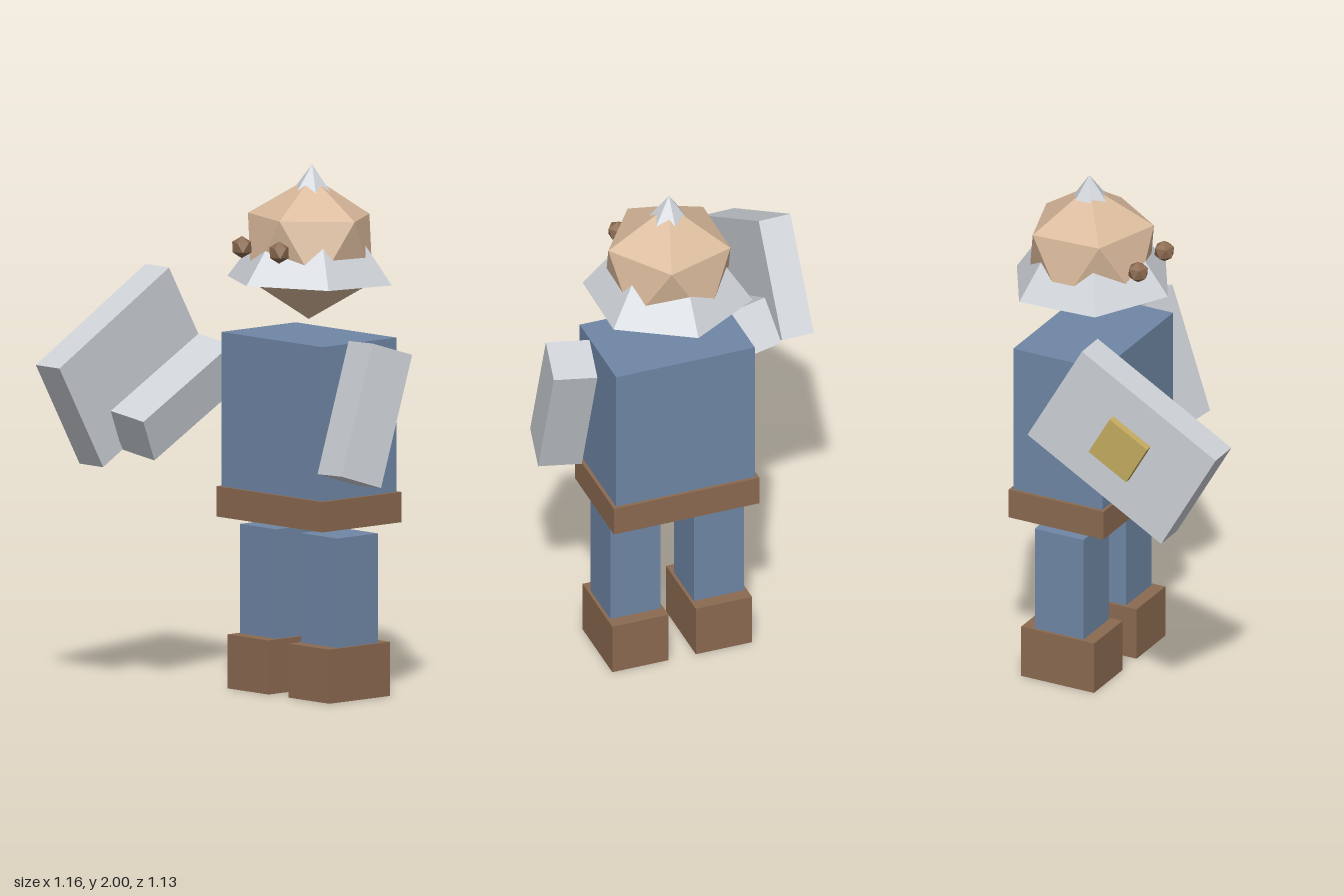
import * as THREE from 'three';

const mat = (name, color) => Object.assign(new THREE.MeshStandardMaterial({ color, flatShading: true }), { name });

export function createModel() {
  const cloth = mat('blue cloth', 0x6f87a6);
  const leather = mat('brown leather', 0x8b6a50);
  const steel = mat('pale steel', 0xcdd1d6);
  const skin = mat('skin', 0xd9b99b);
  const gold = mat('gold', 0xc4ac60);

  const add = (parent, name, geometry, material, x, y, z) => {
    const mesh = new THREE.Mesh(geometry, material);
    mesh.name = name;
    mesh.position.set(x, y, z);
    parent.add(mesh);
    return mesh;
  };
  const box = (parent, name, material, [w, h, d], [x, y, z]) =>
    add(parent, name, new THREE.BoxGeometry(w, h, d), material, x, y, z);

  // Turn a part so its y axis follows up and its z axis follows front
  const aim = (mesh, up, front) => {
    const y = new THREE.Vector3(...up).normalize();
    const x = y.clone().cross(new THREE.Vector3(...front)).normalize();
    const z = x.clone().cross(y);
    mesh.quaternion.setFromRotationMatrix(new THREE.Matrix4().makeBasis(x, y, z));
    return mesh;
  };

  // Icosahedron standing on one corner
  const gem = (radius) => new THREE.IcosahedronGeometry(radius).rotateZ(-Math.atan(2 / (1 + Math.sqrt(5))));

  const model = new THREE.Group();
  model.name = 'blockGuard';

  // Body, turned slightly
  const body = new THREE.Group();
  body.name = 'body';
  body.position.set(0.09, 0, -0.245);
  body.rotation.y = -0.07;
  model.add(body);
  box(body, 'torso', cloth, [0.558, 0.585, 0.38], [0, 1.0625, 0]);
  box(body, 'belt', leather, [0.585, 0.115, 0.405], [0, 0.7125, 0]);
  for (const [side, s] of [['left', 1], ['right', -1]]) {
    box(body, side + 'Leg', cloth, [0.202, 0.415, 0.207], [s * 0.168, 0.4125, 0]);
    box(body, side + 'Boot', leather, [0.226, 0.205, 0.311], [s * 0.168, 0.1025, 0]);
  }

  // Head poking through a six-sided pointed helmet
  const head = new THREE.Group();
  head.name = 'head';
  head.position.set(0, 1.685, -0.007);
  head.rotation.x = -0.03;
  body.add(head);
  add(head, 'face', gem(0.27), skin, 0, 0, 0);
  add(head, 'helmet', new THREE.ConeGeometry(0.323, 0.44, 6), steel, 0, 0.095, 0);
  for (const [side, s] of [['left', 1], ['right', -1]])
    add(head, side + 'Eye', gem(0.042), leather, s * 0.103, 0.008, 0.255);

  // Hanging left arm and raised right arm
  const armSize = [0.167, 0.515, 0.183];
  aim(box(model, 'leftArm', steel, armSize, [0.472, 1.1, -0.145]), [0.01, 0.49, -0.16], [-0.045, 0.055, 0.165]);
  aim(box(model, 'rightArm', steel, armSize, [-0.315, 1.11, 0.05]), [0.03, 0.25, -0.45], [0.028, 0.165, 0.09]);

  // Shield with a boss on its outer face
  const shield = aim(box(model, 'shield', steel, [0.128, 0.655, 0.458], [-0.478, 1.225, 0.1625]),
    [0.033, 0.33, -0.57], [-0.01, 0.4, 0.225]);
  box(shield, 'shieldBoss', gold, [0.06, 0.183, 0.178], [-0.065, 0, 0]);

  return model;
}
